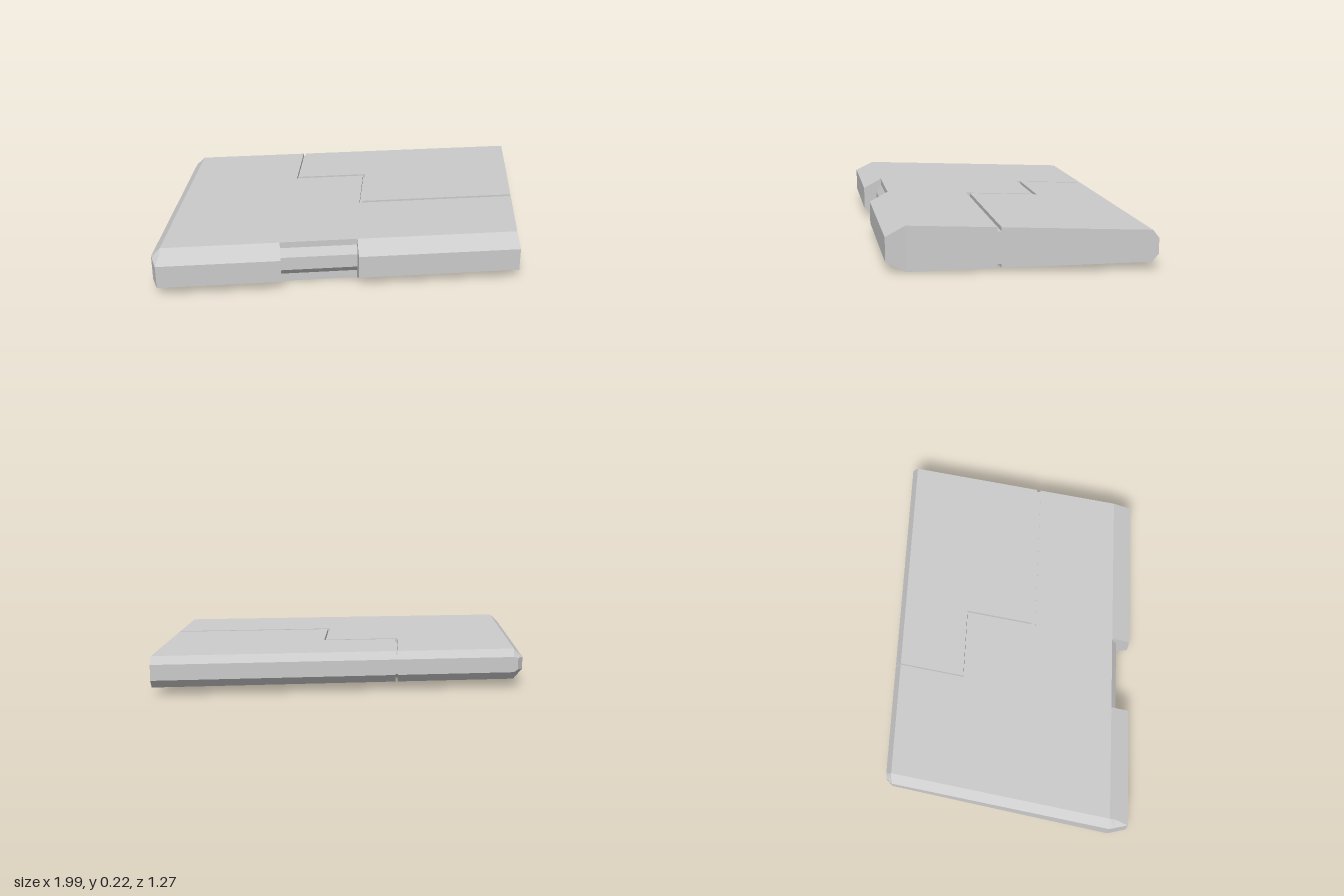
import * as THREE from 'three';

// Plan grid of the slanted slab: u runs across, v runs back to front.
const US = [-0.92, -0.875, -0.294, -0.282, 0.076, 0.088, 0.893];
const VS = [-0.625, -0.61, -0.595, -0.259, -0.241, 0.09, 0.11, 0.523, 0.55, 0.618];
const FRONT = 0.523, BACK = -0.595;   // where the end bevels begin
const SEAM_DEPTH = 0.02;

// Which part the grid cell (i, j) belongs to; null is empty space.
function partAt(i, j) {
  if (i < 0 || j < 0 || i >= US.length - 1 || j >= VS.length - 1) return null;
  if (i >= 2 && i <= 4 && j >= 7) return j === 7 ? 'latchBar' : null;
  const seam = (i === 2 && j <= 3) || (j === 3 && i >= 2 && i <= 4) ||
    (i === 4 && j >= 3 && j <= 5) || (j === 5 && i >= 4);
  if (seam) return j === 0 ? null : 'seam';
  if ((i >= 3 && j < 3) || (i === 5 && j < 5)) return 'insetPanel';
  return 'mainShell';
}

// Top and bottom heights of a part at a grid node.
function heights(part, a, b) {
  const v = VS[b];
  if (part === 'latchBar') return v > FRONT ? [0.15, 0.08] : [0.19, 0.045];
  const run = FRONT - v;
  const f = Math.max(0, (v - FRONT) / 0.095), k = Math.max(0, (BACK - v) / 0.03);
  const side = a === 0 ? 1 : 0;
  const inset = part === 'seam' ? SEAM_DEPTH : 0;
  const topDrop = Math.max(0.052 * f, 0.037 * k, 0.042 * side) + inset;
  const bottomRise = Math.max(0.055 * f, 0.037 * k, 0.05 * side) + inset;
  return [0.222 - 0.0241 * run - topDrop, 0.003 + 0.036 * run + bottomRise];
}

// Slanted plan position of a grid node, with the left corners clipped.
function point(a, b, y) {
  const v = VS[b];
  const end = Math.max(0, (v - FRONT) / 0.095, (BACK - v) / 0.03);
  const u = US[a] + (a === 0 ? 0.025 * end : 0);
  const x = u - 0.155 * Math.min(v, FRONT);
  return [x, y, v - 0.0125 * x];
}

export function createModel() {
  const group = new THREE.Group();
  group.name = 'slantedPanel';
  const faces = { mainShell: [], insetPanel: [], seam: [], latchBar: [] };

  for (let i = 0; i < US.length - 1; i++) {
    for (let j = 0; j < VS.length - 1; j++) {
      const part = partAt(i, j);
      if (!part) continue;
      const quad = (p, q, r, s) => faces[part].push(...p, ...q, ...r, ...p, ...r, ...s);
      const corners = [[i, j + 1], [i + 1, j + 1], [i + 1, j], [i, j]];
      const top = corners.map(([a, b]) => point(a, b, heights(part, a, b)[0]));
      const bottom = corners.map(([a, b]) => point(a, b, heights(part, a, b)[1]));
      quad(...top);
      quad(...bottom.slice().reverse());

      // Walls wherever the neighbouring cell is empty or lies lower
      const neighbours = [[i, j + 1], [i + 1, j], [i, j - 1], [i - 1, j]];
      neighbours.forEach(([ni, nj], n) => {
        const m = (n + 1) % 4, A = corners[n], B = corners[m];
        const other = partAt(ni, nj);
        if (!other) {
          quad(bottom[n], bottom[m], top[m], top[n]);
          return;
        }
        const [ta, ba] = heights(other, ...A), [tb, bb] = heights(other, ...B);
        if (ta < top[n][1] - 1e-5 || tb < top[m][1] - 1e-5)
          quad(point(...A, ta), point(...B, tb), top[m], top[n]);
        if (ba > bottom[n][1] + 1e-5 || bb > bottom[m][1] + 1e-5)
          quad(bottom[n], bottom[m], point(...B, bb), point(...A, ba));
      });
    }
  }

  const material = new THREE.MeshStandardMaterial({ color: 0xcccccc, flatShading: true });
  for (const [name, positions] of Object.entries(faces)) {
    const geometry = new THREE.BufferGeometry();
    geometry.setAttribute('position', new THREE.Float32BufferAttribute(positions, 3));
    geometry.computeVertexNormals();
    const mesh = new THREE.Mesh(geometry, material);
    mesh.name = name;
    group.add(mesh);
  }
  return group;
}
